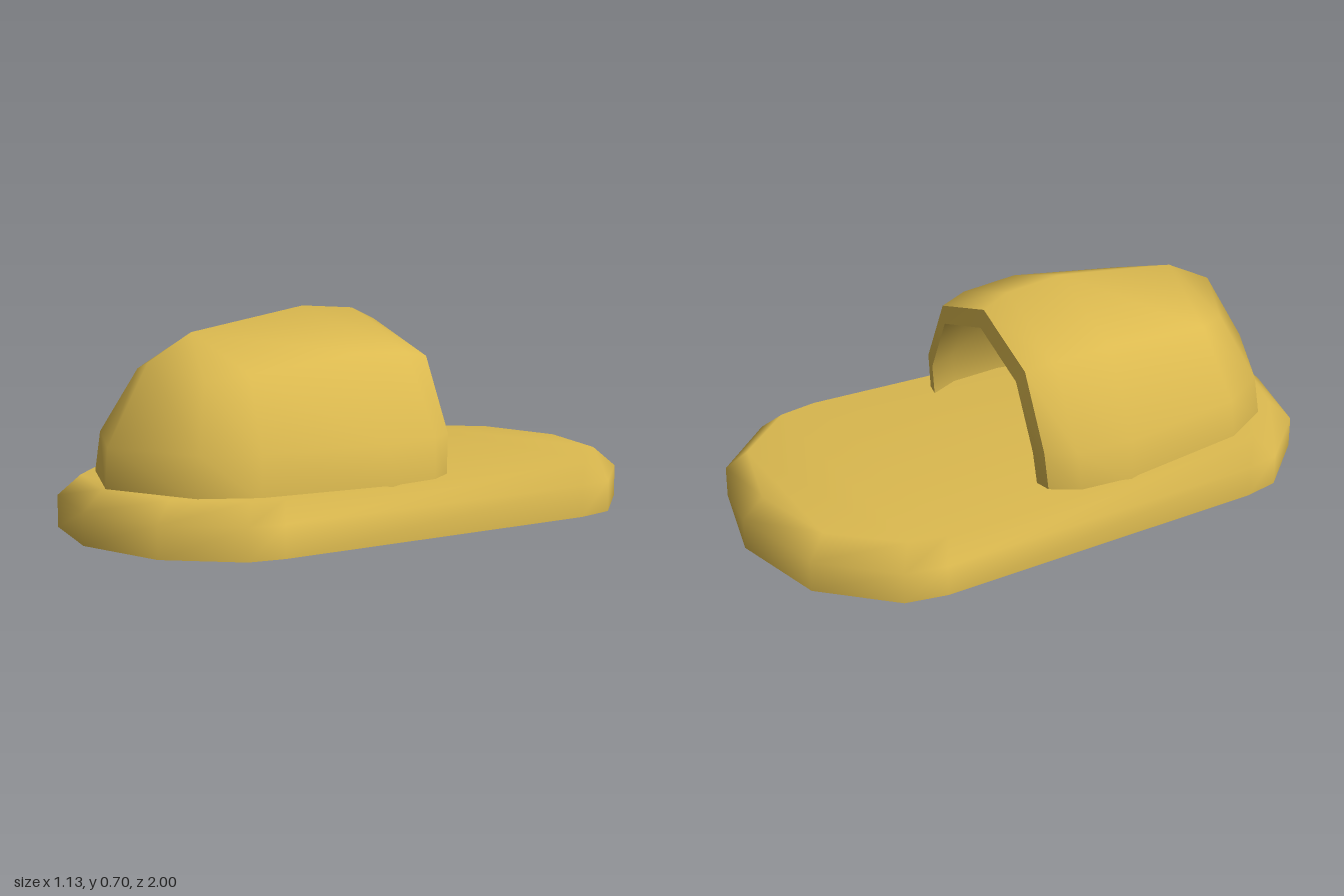
import * as THREE from 'three';
import { mergeVertices } from 'three/addons/utils/BufferGeometryUtils.js';

// Smooth skin through rows of points; zero-area triangles are dropped.
function loft(rows, { closed = false, flip = false } = {}) {
  const out = [];
  const same = (p, q) => p.every((v, k) => Math.abs(v - q[k]) < 1e-5);
  const tri = (p, q, r) => {
    if (same(p, q) || same(q, r) || same(p, r)) return;
    out.push(...p, ...(flip ? r : q), ...(flip ? q : r));
  };
  for (let i = 0; i < rows.length - 1; i++) {
    const n = rows[i].length;
    for (let j = 0; j < (closed ? n : n - 1); j++) {
      const k = (j + 1) % n;
      const a = rows[i][j], b = rows[i][k], c = rows[i + 1][k], d = rows[i + 1][j];
      tri(a, b, c);
      tri(a, c, d);
    }
  }
  let g = new THREE.BufferGeometry();
  g.setAttribute('position', new THREE.Float32BufferAttribute(out, 3));
  g = mergeVertices(g, 1e-4);
  g.computeVertexNormals();
  return g;
}

const mirror = ([x, y, z]) => [x === 0 ? 0 : -x, y, z];
// Half arch (+x foot up to the ridge) completed down the other side.
const arch = (half) => [...half, ...half.slice(0, -1).reverse().map(mirror)];

export function createModel() {
  const group = new THREE.Group();
  group.name = 'slipper';
  const mustard = new THREE.MeshStandardMaterial({ color: 0xdbb94f });
  mustard.name = 'mustard';
  const add = (name, geometry, parent = group) => {
    const mesh = new THREE.Mesh(geometry, mustard);
    mesh.name = name;
    parent.add(mesh);
  };

  // Sole: half outline [x, z] from toe to heel
  const outline = [[0, 1], [0.31, 0.92], [0.5, 0.72], [0.525, 0.6],
    [0.566, -0.56], [0.54, -0.7], [0.335, -0.92], [0, -1]];
  const half = (y, sx = 1, sz = 1) => outline.map(([x, z]) => [x * sx, y, z * sz]);
  const ring = (h) => [...h, ...h.slice(1, -1).reverse().map(mirror)];
  const strip = (h) => h.map((p) => [mirror(p), p]);
  const topHalf = half(0.17, 0.88, 0.93);

  // Wall, bevel and top share normals, so join them before smoothing
  const skin = [loft([ring(half(0)), ring(half(0.105)), ring(topHalf)], { closed: true }),
    loft(strip(topHalf))].map((g) => g.toNonIndexed());
  let sole = new THREE.BufferGeometry();
  sole.setAttribute('position', new THREE.Float32BufferAttribute(
    skin.flatMap((g) => [...g.attributes.position.array]), 3));
  sole = mergeVertices(sole, 1e-4);
  sole.computeVertexNormals();
  add('sole', sole);
  add('soleUnderside', loft(strip(half(0)), { flip: true }));

  // Upper: half arches from the opening to the toe
  const sections = [
    [[0.41, 0.16, -0.11], [0.4, 0.3, -0.122], [0.28, 0.54, -0.125], [0, 0.64, -0.12]],
    [[0.465, 0.16, -0.02], [0.452, 0.3, -0.03], [0.305, 0.56, -0.03], [0, 0.682, -0.03]],
    [[0.48, 0.16, 0.16], [0.466, 0.3, 0.17], [0.314, 0.572, 0.17], [0, 0.7, 0.17]],
    [[0.412, 0.16, 0.61], [0.4, 0.3, 0.6], [0.275, 0.53, 0.56], [0, 0.64, 0.6]],
    [[0.312, 0.16, 0.78], [0.3, 0.3, 0.765], [0.2, 0.51, 0.68], [0, 0.64, 0.6]],
    [[0, 0.16, 0.92], [0, 0.3, 0.91], [0, 0.555, 0.76], [0, 0.64, 0.6]],
  ];
  // Inner wall, pulled in by the shell thickness
  const inner = sections.map((s, i) => s.map(([x, y, z]) => [
    x * 0.87, 0.16 + (y - 0.16) * 0.87, i === 0 ? z - 0.012 : z > 0.5 ? z - 0.06 : z]));

  const upper = new THREE.Group();
  upper.name = 'upper';
  group.add(upper);
  add('upperShell', loft(sections.map(arch)), upper);
  add('upperLining', loft(inner.map(arch), { flip: true }), upper);
  add('openingRim', loft([arch(inner[0]), arch(sections[0])]), upper);
  return group;
}
